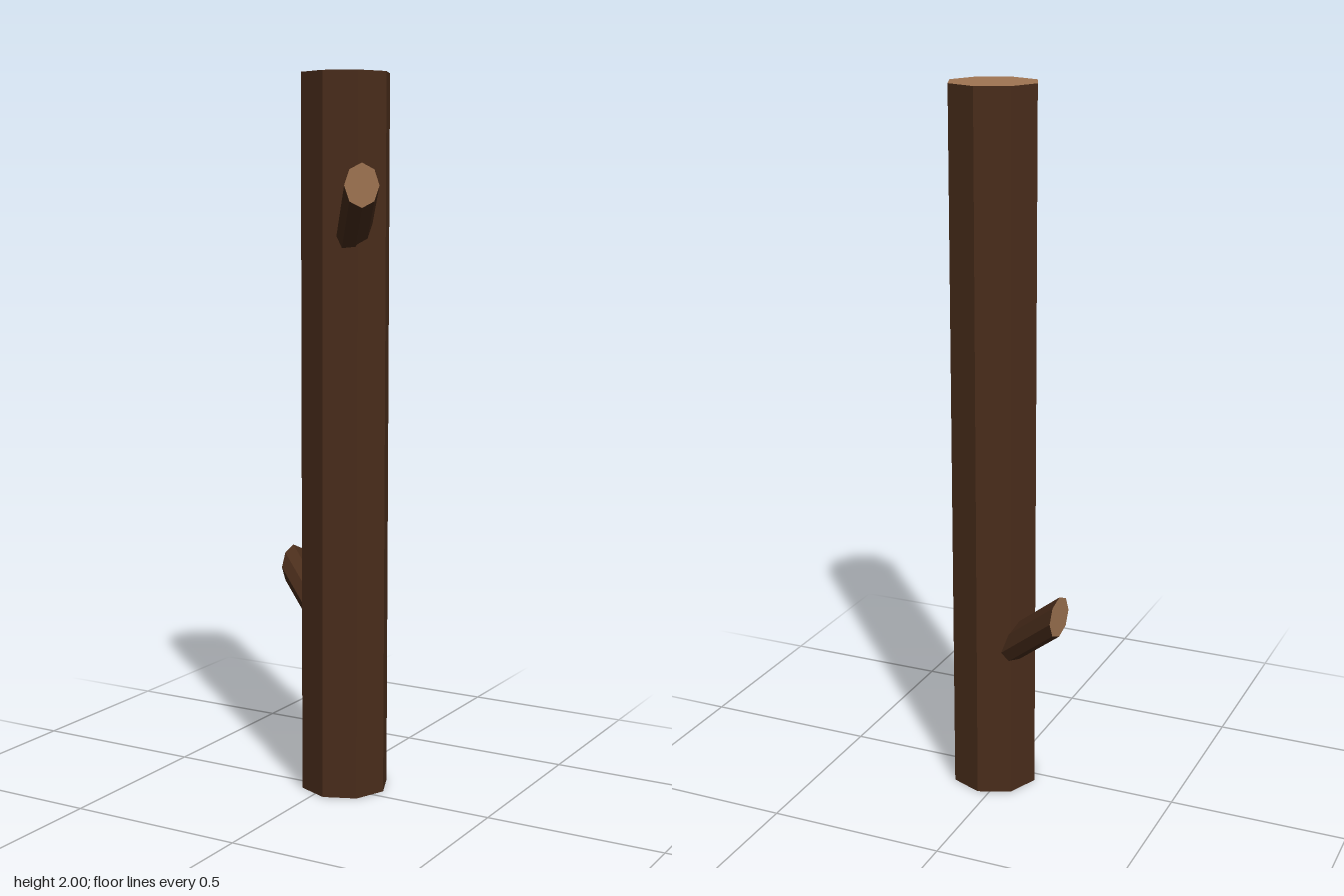
import * as THREE from 'three';

const SIDES = 8;
const bark = new THREE.MeshStandardMaterial({ color: 0x4a2d1b, flatShading: true });
const cutWood = new THREE.MeshStandardMaterial({ color: 0xa07552, flatShading: true });

// Open octagonal tube of unit height plus its end discs, all mapped by one matrix
function log(name, radius, matrix, hasBottom) {
  const group = new THREE.Group();
  group.name = name;
  const add = (part, geometry, material) => {
    const flat = geometry.applyMatrix4(matrix).toNonIndexed();
    flat.computeVertexNormals();
    const mesh = new THREE.Mesh(flat, material);
    mesh.name = name + part;
    group.add(mesh);
  };
  const disc = () => new THREE.CircleGeometry(radius, SIDES);
  add('Bark', new THREE.CylinderGeometry(radius, radius, 1, SIDES, 1, true).translate(0, 0.5, 0), bark);
  add('CutEnd', disc().rotateX(-Math.PI / 2).translate(0, 1, 0), cutWood);
  if (hasBottom) add('CutBase', disc().rotateX(Math.PI / 2), cutWood);
  return group;
}

// Slanted branch whose cut end stays vertical, facing the horizontal direction (nx, nz)
function branch(name, base, tip, nx, nz) {
  const length = Math.hypot(nx, nz);
  const across = new THREE.Vector3(-nz / length, 0, nx / length);
  const along = new THREE.Vector3().subVectors(tip, base);
  const up = new THREE.Vector3(0, 1, 0);
  const matrix = new THREE.Matrix4().makeBasis(across, along, up).setPosition(base);
  return log(name, 0.058, matrix, false);
}

export function createModel() {
  const model = new THREE.Group();
  model.name = 'trunkWithBranches';
  const x = 0.032, z = -0.038;

  // Trunk
  const trunk = new THREE.Matrix4().makeScale(1, 2, 1).setPosition(x, 0, z);
  model.add(log('trunk', 0.125, trunk, true));

  // Branch stubs starting on the trunk axis
  model.add(branch('upperBranch', new THREE.Vector3(0.048, 1.515, z),
    new THREE.Vector3(0.2, 1.698, 0.173), 0.107, 0.045));
  model.add(branch('lowerBranch', new THREE.Vector3(x, 0.38, -0.045),
    new THREE.Vector3(-0.218, 0.592, -0.17), -0.116, -0.009));
  return model;
}
